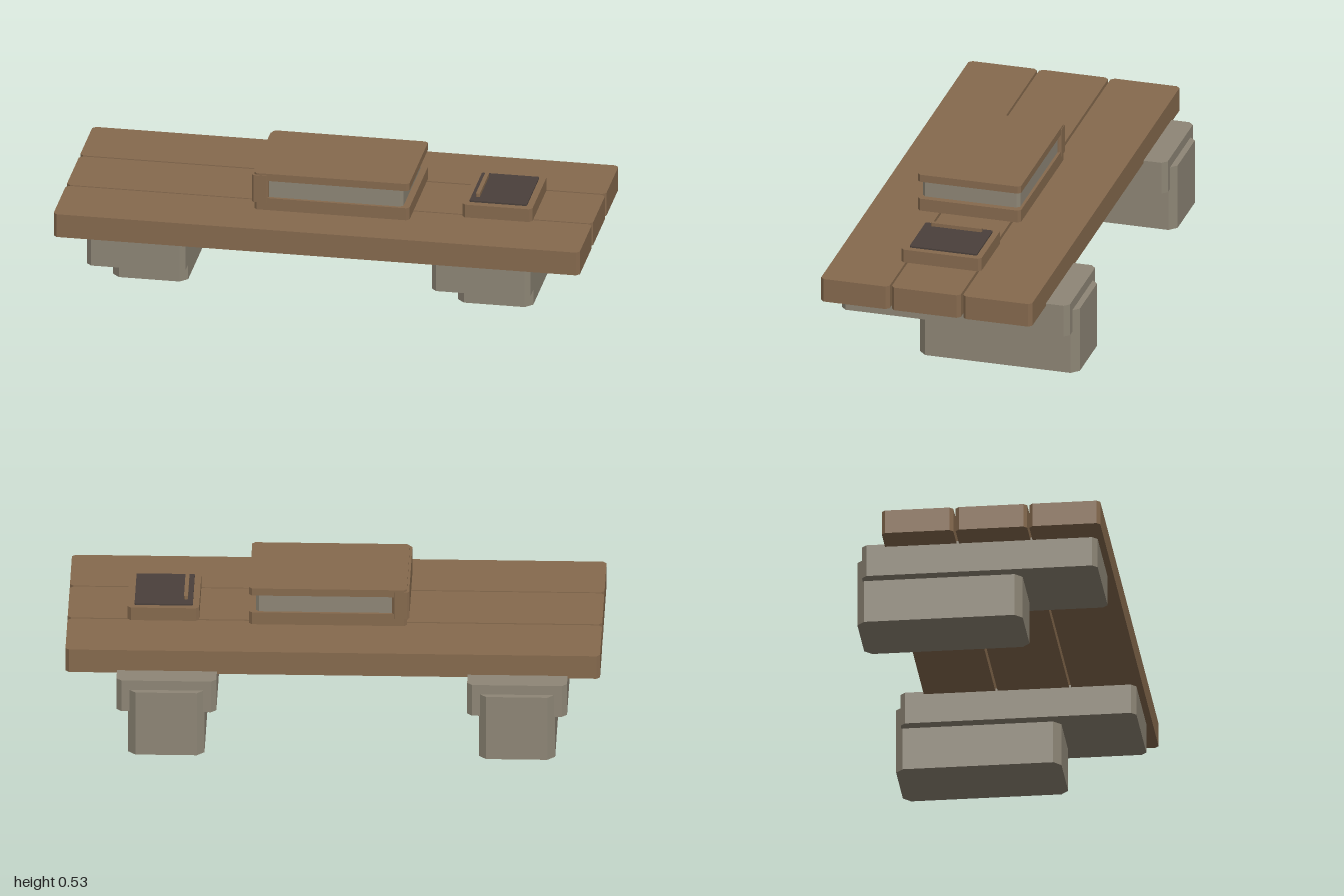
import * as THREE from 'three';

// Block with its four upright edges chamfered, given by its limits on each axis
function block(name, material, [x0, x1], [y0, y1], [z0, z1], c) {
  const hx = (x1 - x0) / 2, hz = (z1 - z0) / 2;
  const shape = new THREE.Shape([
    [hx - c, -hz], [hx, c - hz], [hx, hz - c], [hx - c, hz],
    [c - hx, hz], [-hx, hz - c], [-hx, c - hz], [c - hx, -hz],
  ].map(([x, z]) => new THREE.Vector2(x, z)));
  const geometry = new THREE.ExtrudeGeometry(shape, { depth: y1 - y0, bevelEnabled: false });
  geometry.rotateX(-Math.PI / 2);
  const mesh = new THREE.Mesh(geometry, material);
  mesh.name = name;
  mesh.position.set((x0 + x1) / 2, y0, (z0 + z1) / 2);
  return mesh;
}

function group(name, ...parts) {
  const g = new THREE.Group();
  g.name = name;
  g.add(...parts);
  return g;
}

function createMaterial(name, color) {
  const material = new THREE.MeshStandardMaterial({ color });
  material.name = name;
  return material;
}

export function createModel() {
  const wood = createMaterial('brown wood', 0x866a4e);
  const stone = createMaterial('grey stone', 0x8e8676);
  const slate = createMaterial('dark slate', 0x4a403b);
  const model = group('stoneBench');

  // Three long planks with narrow gaps
  const planks = [[-0.355, -0.086], [-0.077, 0.192], [0.2, 0.467]];
  model.add(group('seat', ...planks.map((z, i) =>
    block('plank' + (i + 1), wood, [-1, 1], [0.285, 0.378], z, 0.013))));

  // Two stepped stone supports, the foot set back under the crossbeam
  [['rightSupport', -0.692], ['leftSupport', 0.62]].forEach(([name, x]) => {
    model.add(group(name,
      block('crossbeam', stone, [x - 0.187, x + 0.187], [0.168, 0.295], [-0.444, 0.443], 0.019),
      block('foot', stone, [x - 0.143, x + 0.143], [0, 0.257], [-0.467, 0.155], 0.028)));
  });

  // Closed book lying on the seat
  model.add(group('book',
    block('bottomCover', wood, [-0.27, 0.32], [0.378, 0.427], [-0.115, 0.287], 0.011),
    block('pages', stone, [-0.24, 0.295], [0.42, 0.5], [-0.104, 0.275], 0.012),
    block('topCover', wood, [-0.27, 0.32], [0.497, 0.526], [-0.115, 0.287], 0.011),
    block('spine', wood, [-0.279, -0.215], [0.408, 0.518], [-0.117, 0.29], 0.009)));

  // Small framed tablet with a stylus
  model.add(group('tablet',
    block('tabletFrame', wood, [0.508, 0.775], [0.378, 0.43], [-0.093, 0.22], 0.012),
    block('writingFace', slate, [0.532, 0.75], [0.43, 0.436], [-0.07, 0.192], 0.004),
    block('stylus', wood, [0.551, 0.566], [0.439, 0.453], [-0.035, 0.163], 0.003)));

  return model;
}
